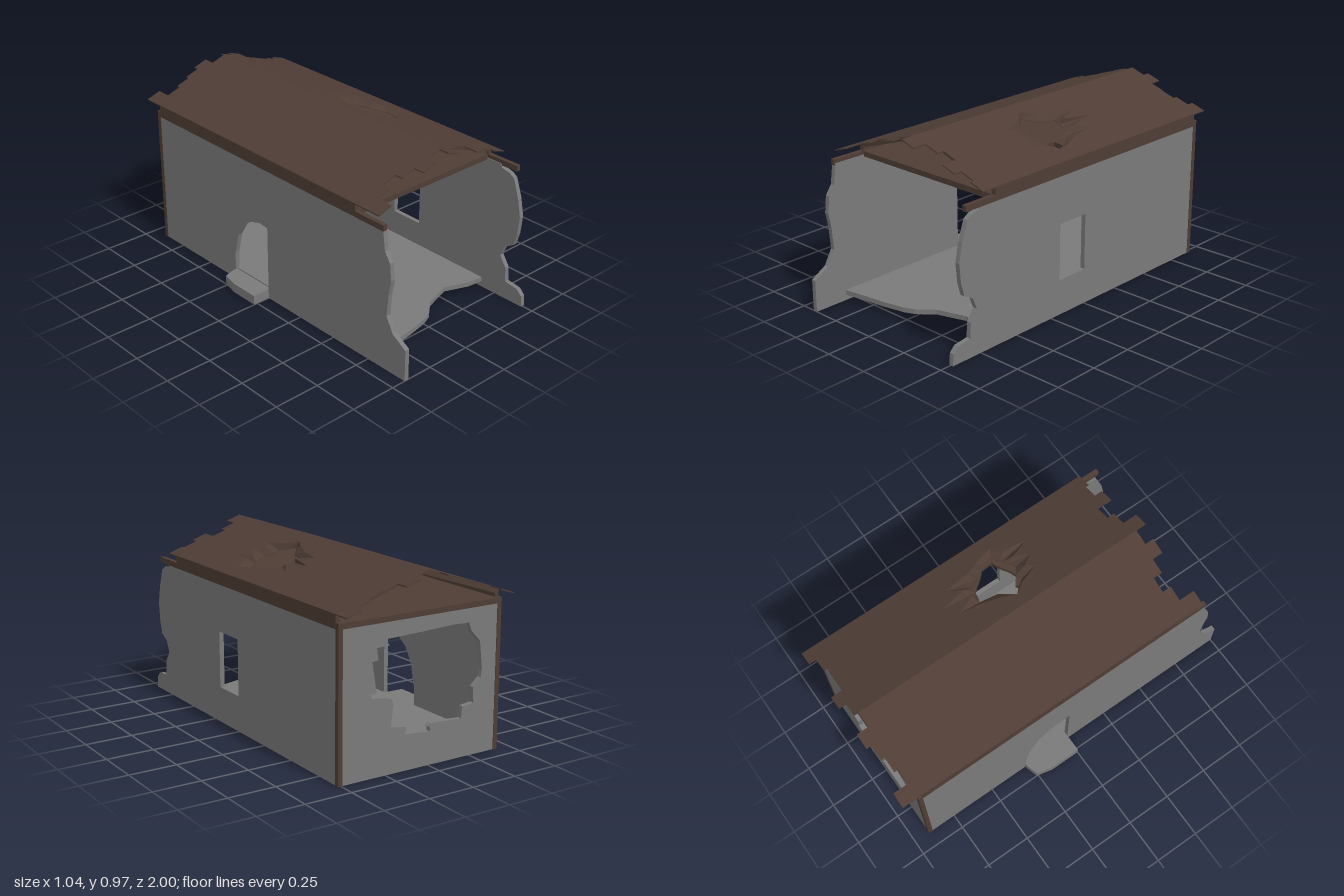
import * as THREE from 'three';

const stone = new THREE.MeshStandardMaterial({ color: 0x7a7a7a });
stone.name = 'grey wall';
const wood = new THREE.MeshStandardMaterial({ color: 0x4f3d35, side: THREE.DoubleSide });
wood.name = 'dark brown wood';

const L = -0.425, R = 0.518, BACK = -0.914;    // outer faces
const RIDGE = 0.045, EAVE_Y = 0.78, RISE = 0.157;
const WALL = 0.025, POST = 0.024;              // thicknesses

function makeShape(points, holes = []) {
  const shape = new THREE.Shape(points.map(p => new THREE.Vector2(...p)));
  holes.forEach(h => shape.holes.push(new THREE.Path(h.map(p => new THREE.Vector2(...p)))));
  return shape;
}
const extrude = (points, holes, depth) =>
  new THREE.ExtrudeGeometry(makeShape(points, holes), { depth, bevelEnabled: false });

// Slab from an outline in (x, z), between heights y0 and y1
function planSlab(points, holes, y0, y1) {
  const flip = list => list.map(([x, z]) => [x, -z]);
  return extrude(flip(points), holes.map(flip), y1 - y0).rotateX(-Math.PI / 2).translate(0, y0, 0);
}
const rect = (x0, x1, z0, z1) => [[x0, z0], [x0, z1], [x1, z1], [x1, z0]];

// Wall from an outline in (z, y), with its +x face at x
function sideWall(points, holes, x) {
  return extrude(points, holes, WALL).rotateY(-Math.PI / 2).translate(x, 0, 0);
}

// Underside height of the roof
const roofY = x => EAVE_Y + RISE * (1 - (x < RIDGE ? (RIDGE - x) / (RIDGE - L) : (x - RIDGE) / (R - RIDGE)));

// Lift flat plan geometry onto the roof pitch
function pitch(geometry) {
  const p = geometry.attributes.position;
  for (let i = 0; i < p.count; i++) p.setY(i, p.getY(i) + roofY(p.getX(i)));
  geometry.computeVertexNormals();
  return geometry;
}

export function createModel() {
  const model = new THREE.Group();
  model.name = 'ruinedHut';
  const add = (name, geometry, material) => {
    const mesh = new THREE.Mesh(geometry, material);
    mesh.name = name;
    model.add(mesh);
  };
  const beam = (name, x0, x1, y0, y1, z0, z1) =>
    add(name, new THREE.BoxGeometry(x1 - x0, y1 - y0, z1 - z0)
      .translate((x0 + x1) / 2, (y0 + y1) / 2, (z0 + z1) / 2), wood);

  // Floor with a broken front edge, raised a little above the wall feet
  add('floor', planSlab([
    [-0.405, -0.895], [-0.405, 0.81], [-0.35, 0.8], [-0.15, 0.77], [-0.03, 0.745], [0.03, 0.72],
    [0.11, 0.65], [0.27, 0.6], [0.4, 0.65], [0.5, 0.66], [0.5, -0.895],
  ], [], 0.03, 0.056), stone);

  // Door step
  add('doorStep', planSlab([
    [-0.41, -0.28], [-0.43, -0.28], [-0.5, -0.26], [-0.52, -0.17], [-0.52, 0], [-0.41, 0],
  ], [], 0, 0.052), stone);

  // Left wall with a window
  add('leftWall', sideWall([
    [-0.905, 0], [0.935, 0], [0.93, 0.06], [0.9, 0.09], [0.82, 0.1], [0.815, 0.18], [0.775, 0.24],
    [0.8, 0.3], [0.855, 0.33], [0.875, 0.4], [0.885, 0.5], [0.865, 0.6], [0.83, 0.7], [0.8, 0.72],
    [0.75, 0.73], [0.74, 0.75], [-0.905, 0.75],
  ], [[[0, 0.19], [0.19, 0.19], [0.19, 0.49], [0, 0.49]]], R - 0.003), stone);

  // Right wall with a broken doorway
  add('rightWall', sideWall([
    [-0.905, 0], [1, 0], [1, 0.17], [0.915, 0.22], [0.87, 0.3], [0.875, 0.36], [0.88, 0.42],
    [0.895, 0.5], [0.885, 0.59], [0.85, 0.64], [0.835, 0.75], [-0.905, 0.75],
  ], [[
    [0, 0.05], [0, 0.415], [-0.06, 0.42], [-0.13, 0.4], [-0.19, 0.36], [-0.24, 0.28],
    [-0.27, 0.16], [-0.275, 0.05],
  ]], L + 0.003 + WALL), stone);

  // Back wall with a large breach
  add('backWall', extrude([[L + 0.01, 0], [R - 0.01, 0], [R - 0.01, 0.75], [L + 0.01, 0.75]], [[
    [-0.23, 0.67], [-0.13, 0.673], [0.07, 0.665], [0.26, 0.66], [0.233, 0.628], [0.305, 0.626],
    [0.297, 0.567], [0.33, 0.564], [0.305, 0.413], [0.333, 0.411], [0.333, 0.39], [0.255, 0.38],
    [0.22, 0.369], [0.208, 0.346], [0.222, 0.232], [0.133, 0.218], [0.139, 0.182], [-0.008, 0.168],
    [-0.008, 0.187], [0.008, 0.198], [-0.008, 0.21], [-0.195, 0.198], [-0.203, 0.257], [-0.27, 0.265],
    [-0.264, 0.344], [-0.311, 0.385], [-0.317, 0.427], [-0.3, 0.57], [-0.245, 0.628],
  ]], WALL).translate(0, 0, BACK + 0.003), stone);

  // Corner posts, wall plates and the strips under the eaves
  for (const [side, x] of [['right', L], ['left', R - POST]]) {
    beam(side + 'BackPost', x, x + POST, 0, 0.77, BACK, BACK + POST);
    beam(side + 'WallPlate', x, x + POST, 0.74, 0.77, BACK, 0.84);
    beam(side + 'EaveStrip', x, x + POST, 0.765, 0.79, -0.89, 0.65);
  }

  // Splintered hole: wide on top of the roof, narrow below
  const inner = [
    [0.19, -0.02], [0.2, -0.08], [0.205, -0.115], [0.24, -0.105], [0.27, -0.1], [0.3, -0.085],
    [0.33, -0.05], [0.36, -0.01], [0.39, 0.02], [0.395, 0.08], [0.35, 0.1], [0.335, 0.11],
    [0.305, 0.13], [0.265, 0.145], [0.22, 0.11], [0.19, 0.13], [0.16, 0.09], [0.125, 0.055],
  ];
  const outer = [
    [0.15, -0.02], [0.185, -0.12], [0.205, -0.24], [0.25, -0.13], [0.28, -0.29], [0.31, -0.14],
    [0.365, -0.22], [0.38, -0.07], [0.405, -0.01], [0.44, 0.11], [0.38, 0.15], [0.36, 0.28],
    [0.32, 0.17], [0.275, 0.24], [0.235, 0.18], [0.2, 0.22], [0.16, 0.11], [0.115, 0.05],
  ];

  // Flat ceiling, broken through under the roof hole
  add('ceiling', planSlab(rect(L + 0.002, R - 0.002, BACK, 0.65), [inner], 0.741, 0.769), wood);

  // Roof: a deck on each slope, covered by six thin planks with uneven ends
  const front = [0.81, 0.72, 0.67, 0.72, 0.78, 0.73, 0.79, 0.71, 0.67, 0.755, 0.71, 0.73];
  const back = [-1, -0.92, -0.94, -0.96, -0.99, -0.925, -0.95, -0.99, -0.92, -0.915, -0.94, -0.98];
  const plankX = i => i <= 6 ? L + (RIDGE - L) * i / 6 : RIDGE + (R - RIDGE) * (i - 6) / 6;
  const slopeOutline = start => {
    const near = [], far = [];
    for (let i = start; i < start + 6; i++) {
      near.push([plankX(i), front[i]], [plankX(i + 1), front[i]]);
      far.push([plankX(i), back[i]], [plankX(i + 1), back[i]]);
    }
    return near.concat(far.reverse());
  };
  const leftDeck = rect(RIDGE, R, -0.89, 0.65);
  add('rightRoofPlanks', pitch(planSlab(slopeOutline(0), [], 0.024, 0.03)), wood);
  add('rightRoofDeck', pitch(planSlab(rect(L, RIDGE, -0.89, 0.65), [], 0, 0.024)), wood);
  add('leftRoofPlanks', pitch(planSlab(slopeOutline(6), [outer], 0.024, 0.03)), wood);
  add('leftRoofDeck', pitch(planSlab(leftDeck, [outer], 0.003, 0.024)), wood);
  add('leftRoofUnderside', pitch(planSlab(leftDeck, [inner], 0, 0.003)), wood);

  const rim = [];
  inner.forEach((a, i) => {
    const j = (i + 1) % inner.length;
    const low = p => [p[0], 0.002, p[1]], high = p => [p[0], 0.03, p[1]];
    rim.push(...low(a), ...high(outer[j]), ...high(outer[i]));
    rim.push(...low(a), ...low(inner[j]), ...high(outer[j]));
  });
  const rimGeometry = new THREE.BufferGeometry();
  rimGeometry.setAttribute('position', new THREE.Float32BufferAttribute(rim, 3));
  add('roofHoleSplinters', pitch(rimGeometry), wood);

  return model;
}
